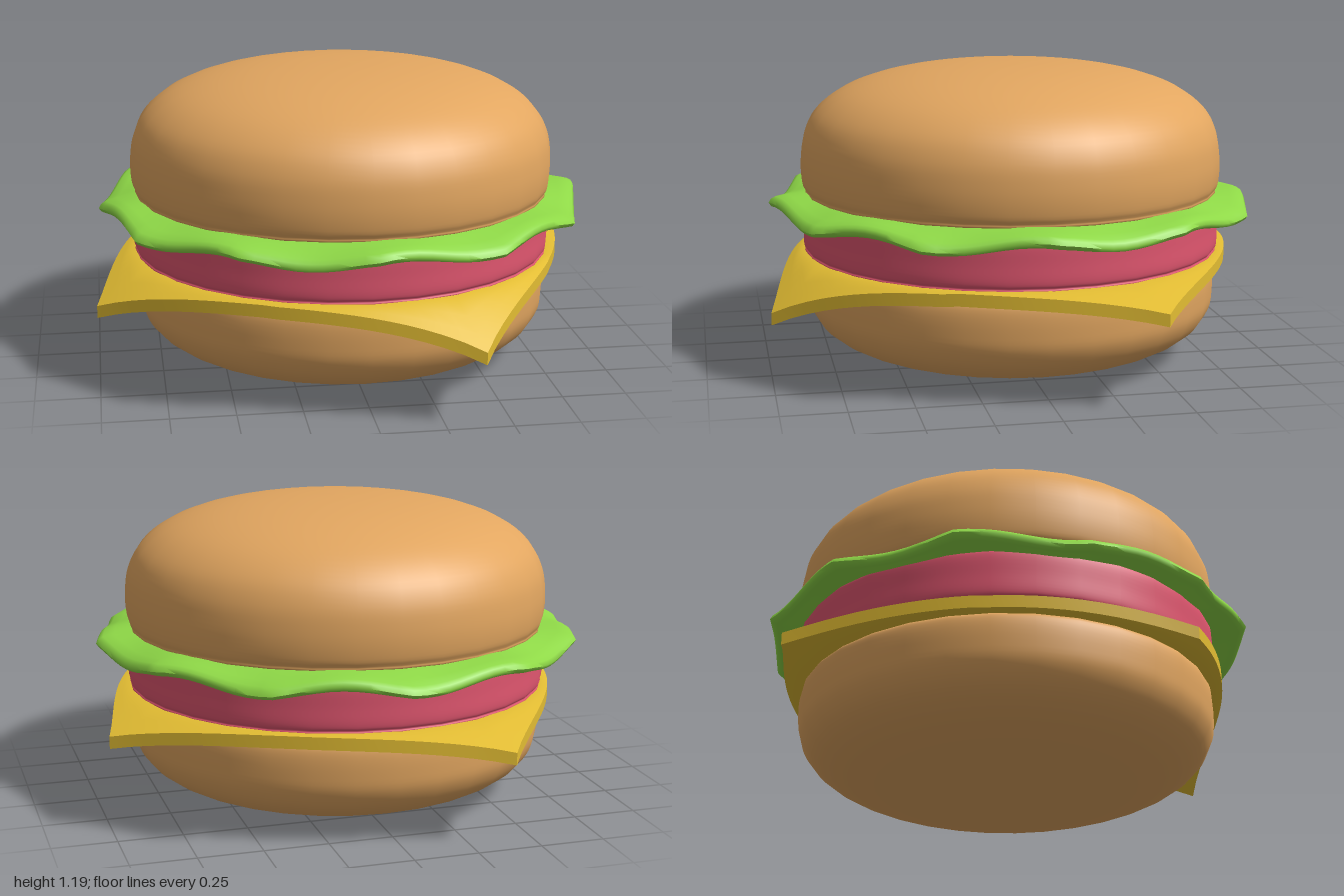
import * as THREE from 'three';
import { toCreasedNormals } from 'three/addons/utils/BufferGeometryUtils.js';

const paint = (name, color) => Object.assign(new THREE.MeshStandardMaterial({ color }), { name });

const vec = ([x, y]) => new THREE.Vector2(x, y);

// Smooth round layer; the profile runs from the bottom axis to the top axis.
function roundLayer(name, profile, material) {
  const points = new THREE.SplineCurve(profile.map(vec)).getPoints(profile.length * 4);
  points.forEach((p) => { p.x = Math.max(0, p.x); });
  const mesh = new THREE.Mesh(new THREE.LatheGeometry(points, 32), material);
  mesh.name = name;
  return mesh;
}

// Thin slice: a lathe whose vertices are moved by rule(angle, profileRadius, y) -> [radius, y].
function shapedSlice(name, profile, segments, start, rule, crease, material) {
  const geo = new THREE.LatheGeometry(profile.map(vec), segments, start);
  const pos = geo.attributes.position;
  for (let i = 0; i < pos.count; i++) {
    const column = Math.floor(i / profile.length) % segments;
    const angle = start + (column / segments) * Math.PI * 2;
    const [r, y] = rule(angle, Math.hypot(pos.getX(i), pos.getZ(i)), pos.getY(i));
    pos.setXYZ(i, r * Math.sin(angle), y, r * Math.cos(angle));
  }
  const mesh = new THREE.Mesh(toCreasedNormals(geo, crease), material);
  mesh.name = name;
  return mesh;
}

export function createModel() {
  const bun = paint('bun brown', 0xe2a660);
  const meat = paint('patty pink', 0xe0566f);
  const green = paint('lettuce green', 0x8fd947);
  const yellow = paint('cheese yellow', 0xe3bd33);
  const group = new THREE.Group();
  group.name = 'burger';

  // Buns and patty
  group.add(roundLayer('bottomBun', [
    [0, 0], [0.3, 0.005], [0.52, 0.025], [0.67, 0.065], [0.77, 0.125], [0.82, 0.2],
    [0.832, 0.28], [0.83, 0.36], [0.81, 0.395], [0.75, 0.405], [0.4, 0.41], [0, 0.41],
  ], bun));
  group.add(roundLayer('patty', [
    [0, 0.435], [0.4, 0.435], [0.8, 0.437], [0.835, 0.45], [0.845, 0.475], [0.845, 0.54],
    [0.845, 0.61], [0.835, 0.64], [0.8, 0.65], [0.4, 0.65], [0, 0.65],
  ], meat));
  group.add(roundLayer('topBun', [
    [0, 0.67], [0.4, 0.67], [0.79, 0.672], [0.835, 0.69], [0.849, 0.74], [0.85, 0.82],
    [0.835, 0.91], [0.79, 0.995], [0.7, 1.07], [0.57, 1.125], [0.4, 1.163], [0.2, 1.184], [0, 1.19],
  ], bun));

  // Cheese: turned square with bowed edges and four drooping corners
  const cornerAngle = Math.atan2(0.39, 1);
  const drops = [0.15, 0.065, 0.07, 0.11];
  const outline = (angle) => {
    const turn = (angle - cornerAngle) / (Math.PI / 2);
    const a = (turn - Math.floor(turn) - 0.5) * Math.PI / 2;
    let v = 0.76;
    for (let i = 0; i < 12; i++) {
      const c = Math.max(0, Math.cos(Math.PI * v * Math.tan(a) / 1.52));
      v = 0.76 + 0.11 * Math.pow(c, 1.2);
    }
    return v / Math.cos(a);
  };
  const cheeseRule = (angle, t, y) => {
    const edge = outline(angle);
    const r = t <= 0.8 ? t : 0.8 + (edge - 0.8) * (t - 0.8) / 0.2;
    const corner = Math.round((angle - cornerAngle) / (Math.PI / 2)) % 4;
    const droop = drops[corner] * Math.pow(Math.max(0, (r - 0.85) / 0.223), 1.15);
    return [r, y - droop];
  };
  group.add(shapedSlice('cheese', [
    [0, 0.395], [0.6, 0.395], [0.8, 0.395], [0.85, 0.395], [0.9, 0.395], [0.95, 0.395], [1, 0.395],
    [1, 0.443], [0.95, 0.443], [0.9, 0.443], [0.85, 0.443], [0.8, 0.443], [0.6, 0.443], [0, 0.443],
  ], 96, cornerAngle, cheeseRule, 0.7, yellow));

  // Lettuce: twelve-cornered leaf with a wavy, rounded rim
  const lettuceRule = (angle, t, y) => {
    const step = Math.PI / 6;
    const a = angle - Math.round(angle / step) * step;
    const edge = 0.982 * Math.cos(step / 2) / Math.cos(step / 2 - Math.abs(a));
    const f = THREE.MathUtils.clamp((t - 0.78) / 0.22, 0, 1);
    const wave = 0.5 + 0.5 * Math.cos(9 * (angle + Math.PI / 12));
    return [t <= 0.78 ? t : 0.78 + (edge - 0.78) * f, y - f * (0.012 + 0.04 * wave)];
  };
  group.add(shapedSlice('lettuce', [
    [0, 0.637], [0.78, 0.637], [0.86, 0.637], [0.92, 0.636], [0.97, 0.637], [0.99, 0.645],
    [1, 0.66], [0.99, 0.675], [0.97, 0.683], [0.92, 0.685], [0.86, 0.685], [0.78, 0.685], [0, 0.685],
  ], 120, 0, lettuceRule, 1, green));

  return group;
}
